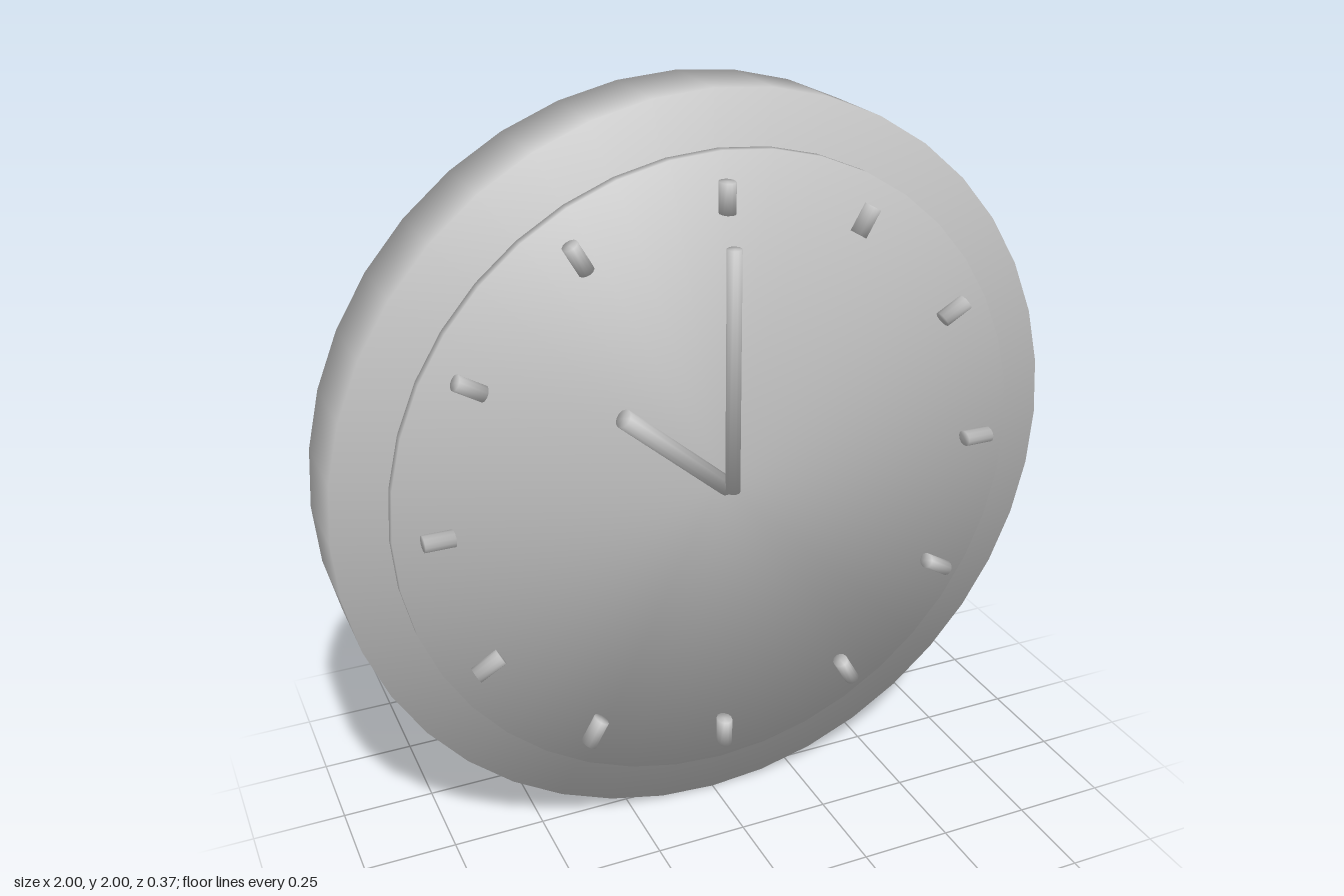
import * as THREE from 'three';

const CENTRE_Y = 1;

// Elliptical cylinder along y whose normals blend smoothly from side to cap.
function softCylinder(width, depth, length, sides) {
  const geometry = new THREE.CylinderGeometry(0.5, 0.5, 1, sides);
  const position = geometry.attributes.position;
  const normal = geometry.attributes.normal;
  const n = new THREE.Vector3();
  for (let i = 0; i < position.count; i++) {
    n.fromBufferAttribute(position, i);
    position.setXYZ(i, n.x * width, n.y * length, n.z * depth);
    n.normalize();
    normal.setXYZ(i, n.x, n.y, n.z);
  }
  return geometry;
}

export function createModel() {
  const clock = new THREE.Group();
  clock.name = 'wallClock';
  const grey = new THREE.MeshStandardMaterial({ color: 0xc0c0c0 });
  grey.name = 'plainGrey';

  function add(name, geometry) {
    const mesh = new THREE.Mesh(geometry, grey);
    mesh.name = name;
    clock.add(mesh);
    return mesh;
  }

  // Round plate facing +z, between two depths
  function plate(name, radius, back, front) {
    const geometry = softCylinder(radius * 2, radius * 2, front - back, 40);
    geometry.rotateX(Math.PI / 2);
    add(name, geometry).position.set(0, CENTRE_Y, (back + front) / 2);
  }

  // Rod lying in front of the dial, from radius r0 to r1 in the direction of angle
  function rod(name, angle, r0, r1, width, back, front) {
    const mesh = add(name, softCylinder(width, front - back, r1 - r0, 12));
    const r = (r0 + r1) / 2;
    mesh.position.set(-Math.sin(angle) * r, CENTRE_Y + Math.cos(angle) * r, (back + front) / 2);
    mesh.rotation.z = angle;
  }

  // Case and dial
  plate('case', 1, -0.185, 0.043);
  plate('dial', 0.863, 0.066, 0.094);

  // Twelve hour markers
  for (let i = 0; i < 12; i++) {
    rod('hourMarker' + (i + 1), -(i + 1) * Math.PI / 6, 0.718, 0.795, 0.041, 0.096, 0.149);
  }

  // Hands
  rod('hourHand', 0.864, 0, 0.368, 0.05, 0.1, 0.163);
  rod('minuteHand', 0, 0, 0.642, 0.038, 0.145, 0.185);

  return clock;
}
